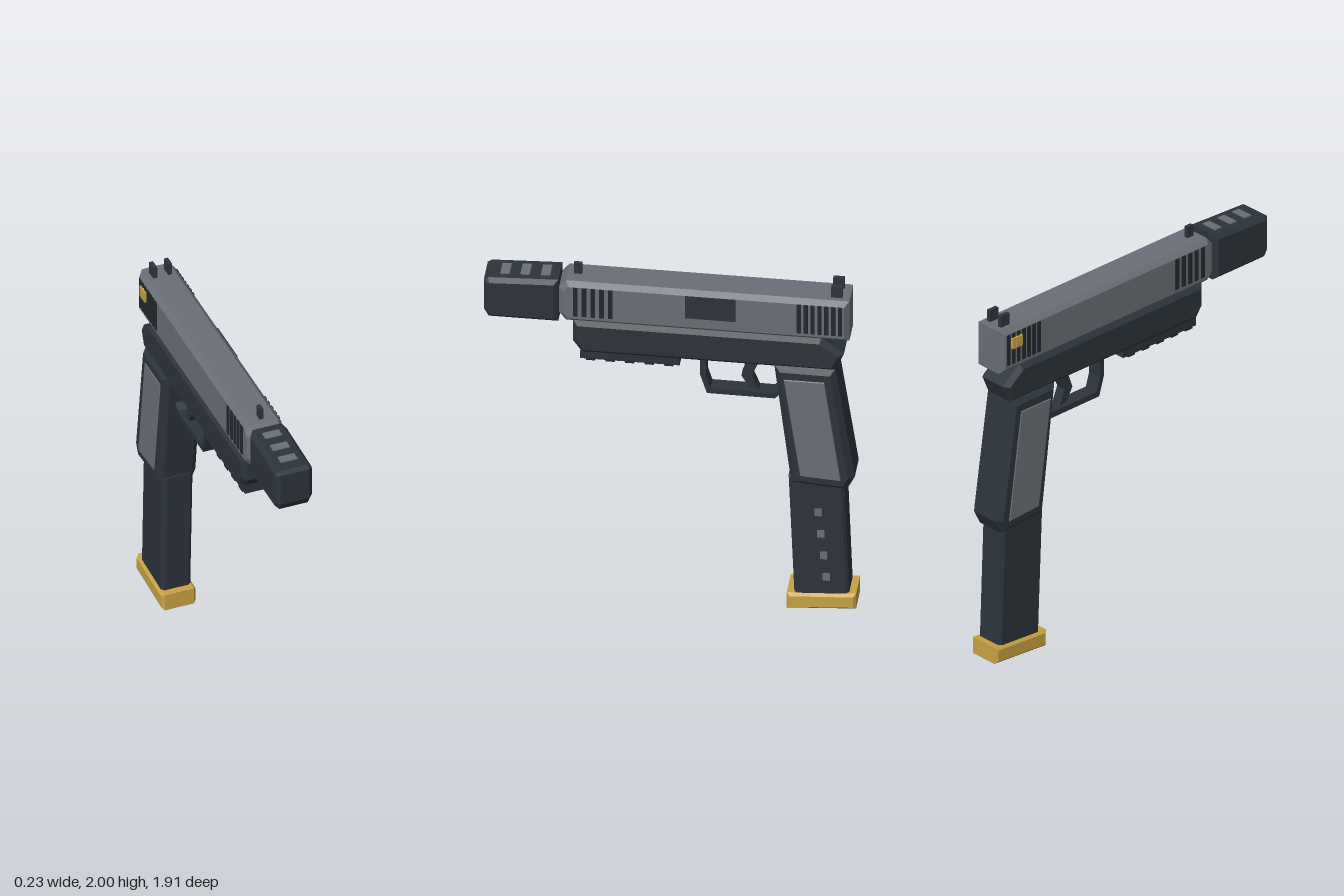
import * as THREE from 'three';

const mat = (name, color) => Object.assign(new THREE.MeshStandardMaterial({ color }), { name });

export function createModel() {
  const model = new THREE.Group();
  model.name = 'pistol';
  const dark = mat('dark frame', 0x2c343b);
  const black = mat('black grooves', 0x22282d);
  const grey = mat('slide grey', 0x6a6e76);
  const gold = mat('gold', 0xc9a144);

  const add = (name, geometry, material) => {
    const mesh = new THREE.Mesh(geometry, material);
    mesh.name = name;
    model.add(mesh);
    return mesh;
  };

  // Side profile of [z, y] points, extruded across x with chamfered edges
  const side = (name, points, halfWidth, bevel, material) => {
    const shape = new THREE.Shape(points.map(([z, y]) => new THREE.Vector2(z, y)));
    const depth = 2 * (halfWidth - bevel);
    const g = new THREE.ExtrudeGeometry(shape, {
      depth, bevelEnabled: bevel > 0, bevelSegments: 1,
      bevelSize: bevel, bevelThickness: bevel, bevelOffset: -bevel,
    });
    g.translate(0, 0, -depth / 2).rotateY(-Math.PI / 2);
    return add(name, g, material);
  };

  const box = (name, [w, h, d], [x, y, z], material) => {
    const mesh = add(name, new THREE.BoxGeometry(w, h, d), material);
    mesh.position.set(x, y, z);
    return mesh;
  };

  // Slide
  side('slide', [[0.535, 1.935], [0.572, 1.89], [0.572, 1.735], [0.535, 1.69],
    [-0.918, 1.69], [-0.918, 1.935]], 0.1, 0.025, grey);

  // Muzzle compensator with top vents and bore
  side('compensator', [[0.575, 1.936], [0.935, 1.92], [0.957, 1.905], [0.957, 1.725],
    [0.932, 1.68], [0.575, 1.68]], 0.1, 0.022, dark);
  for (const z of [0.645, 0.75, 0.853]) {
    const vent = box('compensatorVent', [0.092, 0.008, 0.048], [0, 1.937 - (z - 0.575) * 0.044, z], grey);
    vent.rotation.x = 0.044;
  }
  const bore = add('bore', new THREE.CylinderGeometry(0.045, 0.045, 0.008, 12), dark);
  bore.rotation.x = Math.PI / 2;
  bore.position.set(0, 1.81, 0.955);

  // Grip serrations on both sides of the slide
  const serrations = [];
  for (let i = 0; i < 5; i++) serrations.push(['frontSerration', 0.485 - i * 0.045, 0.024]);
  for (let i = 0; i < 7; i++) serrations.push(['rearSerration', -0.662 - i * 0.0353, 0.021]);
  for (const s of [-1, 1])
    for (const [name, z, d] of serrations)
      box(name, [0.009, 0.175, d], [s * 0.101, 1.822, z], black);

  // Ejection port and selector switch
  box('ejectionPort', [0.009, 0.135, 0.258], [0.101, 1.842, -0.207], dark);
  box('selectorSwitch', [0.018, 0.06, 0.068], [-0.106, 1.855, -0.82], gold);
  box('selectorRidge', [0.006, 0.035, 0.022], [-0.114, 1.855, -0.82], gold);

  // Sights
  box('frontSight', [0.022, 0.075, 0.042], [0, 1.96, 0.483], dark);
  for (const s of [-1, 1]) box('rearSight', [0.022, 0.08, 0.058], [s * 0.041, 1.96, -0.85], dark);

  // Frame and accessory rail
  side('frame', [[0.5, 1.695], [-0.775, 1.695], [-0.89, 1.605], [-0.845, 1.5],
    [0.455, 1.5], [0.5, 1.565]], 0.1, 0.025, dark);
  box('rail', [0.15, 0.05, 0.51], [0, 1.481, 0.208], dark);
  for (let i = 0; i < 5; i++)
    box('railGroove', [0.155, 0.012, 0.048], [0, 1.455, 0.41 - i * 0.1], black);

  // Trigger guard and trigger
  side('triggerGuard', [[-0.147, 1.51], [-0.147, 1.385], [-0.182, 1.272], [-0.53, 1.27],
    [-0.57, 1.31], [-0.555, 1.33], [-0.52, 1.302], [-0.2, 1.304],
    [-0.177, 1.38], [-0.177, 1.51]], 0.04, 0, dark);
  side('trigger', [[-0.4, 1.51], [-0.358, 1.39], [-0.4, 1.315], [-0.447, 1.308],
    [-0.412, 1.395], [-0.458, 1.51]], 0.028, 0, dark);

  // Grip with inlaid side panels
  side('grip', [[-0.533, 1.51], [-0.847, 1.51], [-0.946, 0.845], [-0.905, 0.765],
    [-0.62, 0.785]], 0.108, 0.03, dark);
  side('gripPanels', [[-0.585, 1.44], [-0.793, 1.44], [-0.878, 0.833], [-0.67, 0.846]],
    0.113, 0.004, grey);

  // Extended magazine, witness holes and base plate
  side('magazine', [[-0.605, 0.82], [-0.89, 0.82], [-0.917, 0.09], [-0.635, 0.08]],
    0.081, 0.015, dark);
  for (let i = 0; i < 4; i++)
    box('magazineHole', [0.009, 0.045, 0.038], [0.081, 0.61 - i * 0.133, -0.758 - i * 0.0143], grey);
  side('basePlate', [[-0.597, 0.095], [-0.953, 0.118], [-0.953, 0.025], [-0.597, 0]],
    0.095, 0.015, gold);

  return model;
}
